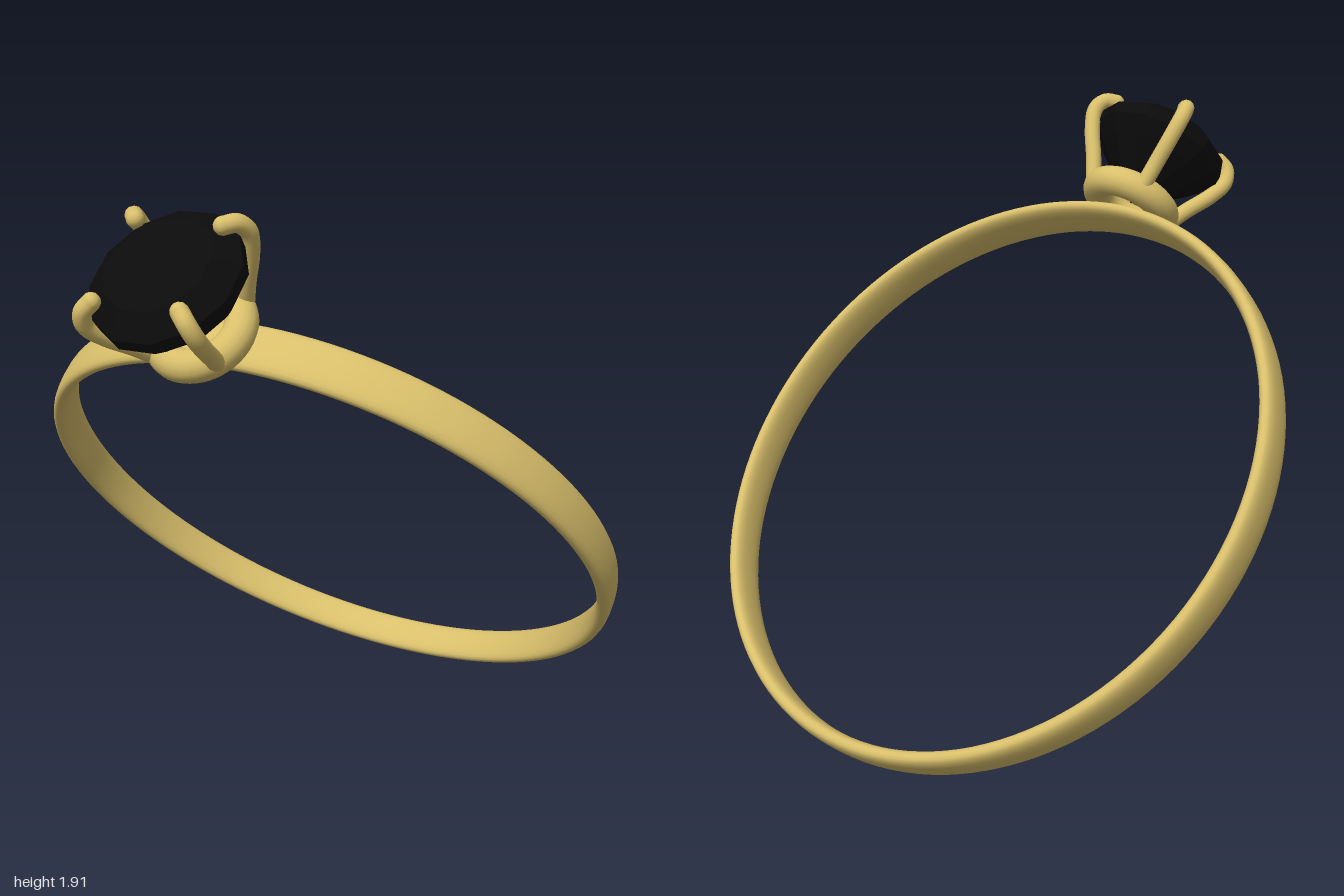
import * as THREE from 'three';
import { mergeVertices } from 'three/addons/utils/BufferGeometryUtils.js';

const V2 = (p) => p.map(([x, y]) => new THREE.Vector2(x, y));

// Closed band: rounded-rectangle section swept round a circle, wider at the top
function bandGeometry() {
  const g = new THREE.TorusGeometry(0.975, 0.025, 20, 128);
  const { position: p, uv } = g.attributes;
  const soft = (t) => Math.sign(t) * Math.abs(t) ** 0.8;
  for (let i = 0; i < p.count; i++) {
    const a = uv.getX(i) * Math.PI * 2;
    const b = uv.getY(i) * Math.PI * 2;
    const halfWidth = 0.071 + 0.008 * Math.sin(a);
    const r = 0.974 + 0.026 * soft(Math.cos(b));
    p.setXYZ(i, r * Math.cos(a), r * Math.sin(a), halfWidth * soft(Math.sin(b)));
  }
  g.deleteAttribute('uv');
  g.deleteAttribute('normal');
  const merged = mergeVertices(g, 1e-5);
  merged.computeVertexNormals();
  return merged;
}

export function createModel() {
  const gold = new THREE.MeshStandardMaterial({ color: 0xd9bf6b });
  gold.name = 'gold';
  const black = new THREE.MeshStandardMaterial({ color: 0x0b0b0b });
  black.name = 'black stone';

  const model = new THREE.Group();
  model.name = 'ring';
  const tilted = new THREE.Group();
  tilted.name = 'tiltedRing';
  tilted.position.set(0, 0.8, -0.167);
  tilted.rotation.set(0.724, 0.03, 0);
  model.add(tilted);

  const add = (parent, name, geometry, material) => {
    const mesh = new THREE.Mesh(geometry, material);
    mesh.name = name;
    parent.add(mesh);
    return mesh;
  };

  add(tilted, 'band', bandGeometry(), gold);

  // Setting that holds the stone, sitting on top of the band
  const head = new THREE.Group();
  head.name = 'setting';
  head.position.set(-0.008, 0, 0.013);
  tilted.add(head);

  // Rounded collar
  const collar = add(head, 'collar', new THREE.TorusGeometry(0.125, 0.05, 16, 48), gold);
  collar.rotation.x = Math.PI / 2;
  collar.position.y = 1.052;

  // Short posts joining the collar to the band
  for (const side of [-1, 1]) {
    const post = add(head, 'collarPost', new THREE.CylinderGeometry(0.022, 0.022, 0.07, 12), gold);
    post.position.set(side * 0.11, 1.005, 0);
  }

  // Four prongs hooking over the edge of the stone
  const path = new THREE.CatmullRomCurve3(
    [[0.15, 1.06], [0.185, 1.13], [0.235, 1.22], [0.258, 1.29], [0.242, 1.335], [0.205, 1.352]]
      .map(([r, y]) => new THREE.Vector3(r, y, 0)));
  const prongGeo = new THREE.TubeGeometry(path, 32, 0.027, 12);
  const tipGeo = new THREE.SphereGeometry(0.027, 12, 8);
  for (let i = 0; i < 4; i++) {
    const prong = new THREE.Group();
    prong.name = 'prong';
    prong.rotation.y = Math.PI / 4 + i * Math.PI / 2;
    add(prong, 'prongShaft', prongGeo, gold);
    add(prong, 'prongTip', tipGeo, gold).position.copy(path.getPoint(1));
    head.add(prong);
  }

  // Faceted stone: pavilion, girdle, crown and flat table
  const profile = V2([[0, 1.05], [0.1, 1.125], [0.19, 1.21], [0.234, 1.26], [0.234, 1.3], [0.165, 1.352], [0, 1.352]]);
  const stoneGeo = new THREE.LatheGeometry(profile, 12).toNonIndexed();
  stoneGeo.computeVertexNormals();
  const stone = add(head, 'stone', stoneGeo, black);
  stone.rotation.y = Math.PI / 12;

  return model;
}
